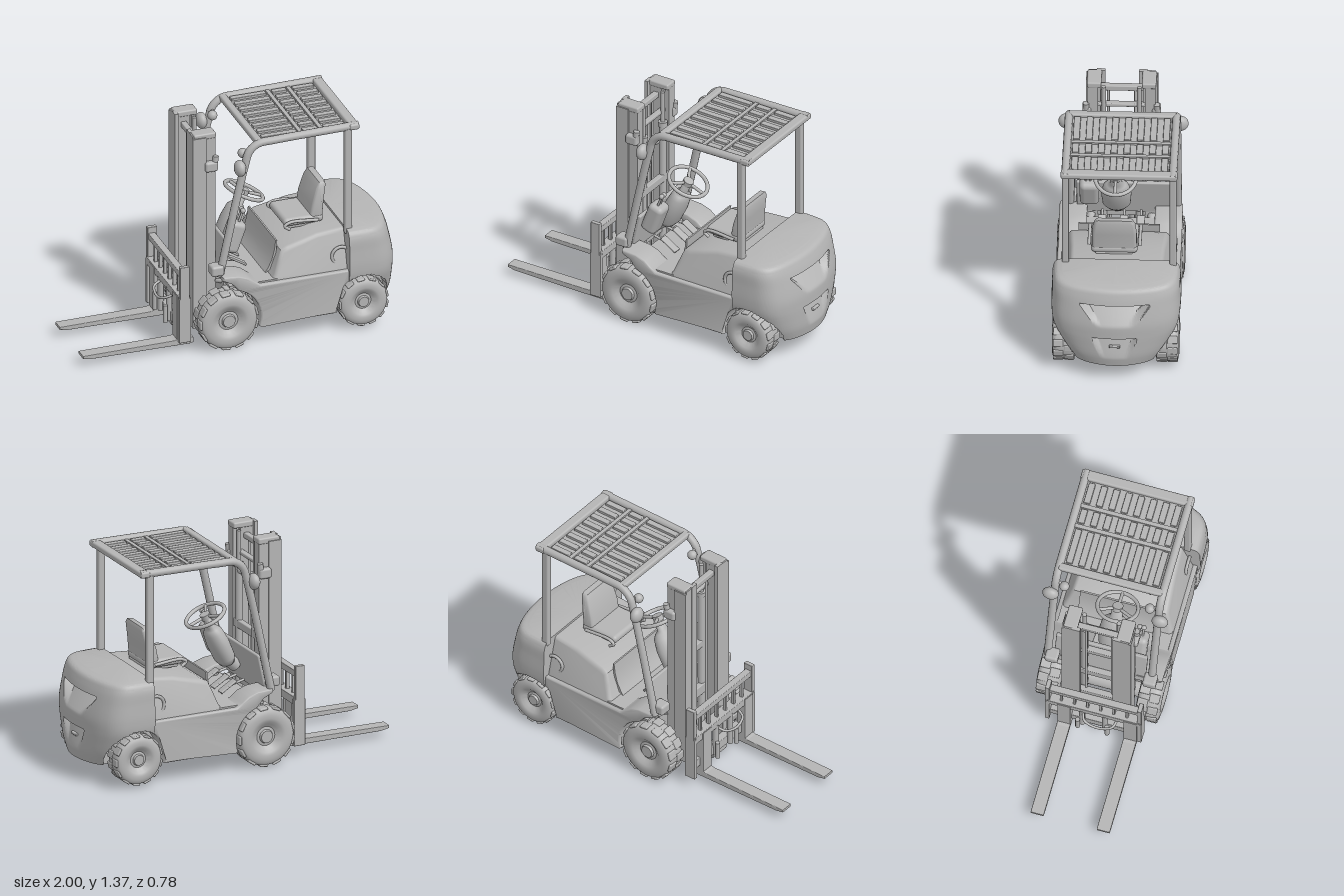
import * as THREE from 'three';
import { toCreasedNormals } from 'three/addons/utils/BufferGeometryUtils.js';
import { RoundedBoxGeometry } from 'three/addons/geometries/RoundedBoxGeometry.js';

const grey = new THREE.MeshStandardMaterial({ color: 0xb4b4b4 });
grey.name = 'plainGrey';
const V = (x, y, z) => new THREE.Vector3(x, y, z);

export function createModel() {
  const root = new THREE.Group();
  root.name = 'forklift';

  const add = (name, geo, parent = root) => {
    const m = new THREE.Mesh(geo, grey);
    m.name = name;
    parent.add(m);
    return m;
  };
  // Box given by its limits, optionally rounded
  const box = (name, x0, x1, y0, y1, z0, z1, r = 0, parent = root) => {
    const s = [x1 - x0, y1 - y0, z1 - z0];
    const m = add(name, r ? new RoundedBoxGeometry(...s, 3, r) : new THREE.BoxGeometry(...s), parent);
    m.position.set((x0 + x1) / 2, (y0 + y1) / 2, (z0 + z1) / 2);
    return m;
  };
  // Straight rod between two points
  const rod = (name, a, b, r, parent = root) => {
    const d = b.clone().sub(a);
    const m = add(name, new THREE.CylinderGeometry(r, r, d.length(), 20), parent);
    m.position.copy(a).add(b).multiplyScalar(0.5);
    m.quaternion.setFromUnitVectors(V(0, 1, 0), d.normalize());
    return m;
  };
  const tube = (name, pts, r, parent = root) =>
    add(name, new THREE.TubeGeometry(new THREE.CatmullRomCurve3(pts), 60, r, 12), parent);
  // Side outline extruded across the width
  const slab = (shape, z0, z1, bevel) => {
    const g = new THREE.ExtrudeGeometry(shape, { depth: z1 - z0 - 2 * bevel, bevelEnabled: bevel > 0,
      bevelSize: bevel, bevelThickness: bevel, bevelOffset: -bevel, bevelSegments: 4, curveSegments: 24 });
    return g.translate(0, 0, z0 + bevel);
  };
  const outline = pts => new THREE.Shape(pts.map(p => new THREE.Vector2(...p)));

  // Wheels: turned tyre and hub with two staggered rows of broad lugs
  const wheel = (name, x, y, z, R, hw) => {
    const g = new THREE.Group();
    g.name = name;
    g.position.set(x, y, z);
    root.add(g);
    const half = [[0, 0.8], [0.2, 0.8], [0.23, 0.6], [0.32, 0.55], [0.42, 0.72], [0.52, 0.92], [0.62, 1],
      [0.75, 0.98], [0.86, 0.92], [0.93, 0.8], [0.965, 0.6], [0.97, 0.2]];
    const pts = [...half.map(([r, h]) => [r, -h]), ...half.slice().reverse()];
    const tyre = new THREE.LatheGeometry(pts.map(([r, h]) => new THREE.Vector2(r * R, h * hw)), 48);
    add('tyre', toCreasedNormals(tyre.rotateX(Math.PI / 2), 0.7), g);
    for (const s of [-1, 1]) for (let i = 0; i < 13; i++) {
      const a = (i + (s > 0 ? 0.5 : 0)) / 13 * Math.PI * 2;
      const lug = add('lug', new RoundedBoxGeometry(R * 0.09, R * 0.3, hw * 0.86, 2, R * 0.04), g);
      lug.position.set(Math.cos(a) * R * 0.95, Math.sin(a) * R * 0.95, s * hw * 0.46);
      lug.rotation.z = a;
    }
  };
  for (const s of [-1, 1]) {
    wheel('frontWheel', -0.11, 0.19, s * 0.305, 0.186, 0.073);
    wheel('rearWheel', 0.736, 0.174, s * 0.306, 0.156, 0.07);
  }
  rod('frontAxle', V(-0.11, 0.19, -0.25), V(-0.11, 0.19, 0.25), 0.06);
  rod('rearAxle', V(0.736, 0.172, -0.25), V(0.736, 0.172, 0.25), 0.045);

  // Chassis: central tub plus side panels with fender and wheel arches
  box('chassisTub', -0.1, 0.68, 0.13, 0.4, -0.23, 0.23);
  box('rearTub', 0.6, 0.86, 0.13, 0.36, -0.2, 0.2);
  const side = outline([[-0.15, 0.485], [-0.05, 0.477], [0.01, 0.457], [0.05, 0.425], [0.09, 0.4],
    [0.645, 0.4], [0.645, 0.326]]);
  side.absarc(0.736, 0.176, 0.175, 2.12, 3.41, false);
  side.lineTo(0.075, 0.13);
  side.absarc(-0.11, 0.19, 0.2, -0.3, 1.25, false);
  side.lineTo(-0.09, 0.43);
  side.lineTo(-0.15, 0.46);
  for (const s of [-1, 1]) {
    add('sidePanel', toCreasedNormals(slab(side, s > 0 ? 0.2 : -0.365, s > 0 ? 0.365 : -0.2, 0.012), 0.6));
    box('fenderBlock', -0.21, -0.13, 0.485, 0.55, s * 0.3 - 0.04, s * 0.3 + 0.04, 0.015);
  }

  // Engine hood, narrowing towards the top
  const hood = slab(outline([[0.16, 0.38], [0.19, 0.43], [0.215, 0.5], [0.24, 0.565], [0.28, 0.585], [0.38, 0.608],
    [0.47, 0.63], [0.65, 0.645], [0.65, 0.38]]), -0.345, 0.345, 0.025);
  const hp = hood.attributes.position;
  for (let i = 0; i < hp.count; i++) hp.setZ(i, hp.getZ(i) * (1 - 0.8 * (hp.getY(i) - 0.38)));
  add('engineHood', toCreasedNormals(hood, 0.6));
  // Curved shield in front of the hood
  const shield = outline([[0.155, 0.405], [0.19, 0.425], [0.215, 0.48], [0.23, 0.55], [0.235, 0.612], [0.225, 0.612],
    [0.217, 0.55], [0.2, 0.485], [0.175, 0.435]]);
  add('hoodShield', toCreasedNormals(slab(shield, -0.24, 0.24, 0), 0.6));
  for (const s of [-1, 1]) {
    const pocket = add('sidePocket', new THREE.TorusGeometry(0.055, 0.01, 10, 24, Math.PI));
    pocket.position.set(0.605, 0.485, s * 0.318);
    pocket.rotation.z = 0.9;
  }

  // Counterweight: lofted plan curve, with wheel arches and rear recesses pressed in
  const x0 = 0.64, N = 170;
  const halfPlan = [[0, 1], [0.35, 0.995], [0.58, 0.965], [0.74, 0.875], [0.85, 0.72], [0.925, 0.52], [0.98, 0.27]];
  const plan = new THREE.SplineCurve([...halfPlan, [1, 0], ...halfPlan.slice().reverse().map(([x, z]) => [x, -z])]
    .map(p => new THREE.Vector2(...p))).getSpacedPoints(N);
  // Levels hold height, rear end and half width
  const levels = new THREE.CatmullRomCurve3([[0.13, 0.985, 0.272], [0.2, 0.998, 0.312], [0.28, 1, 0.35], [0.35, 1, 0.376],
    [0.42, 0.998, 0.383], [0.52, 0.978, 0.38], [0.6, 0.955, 0.376], [0.64, 0.935, 0.36], [0.657, 0.88, 0.32]]
    .map(p => V(...p))).getSpacedPoints(64);
  levels.unshift(V(0.13, x0 + 0.02, 0));
  levels.push(V(0.66, x0 + 0.02, 0));
  const clamp = v => Math.min(1, Math.max(0, v));
  const pos = [], idx = [];
  levels.forEach((l, j) => plan.forEach((p, i) => {
    const y = l.x;
    let x = x0 + (l.y - x0) * p.x, z = l.z * p.y;
    if (Math.hypot(x - 0.736, y - 0.176) < 0.176 && Math.abs(z) > 0.21) z = 0.21 * Math.sign(z);
    if (x > 0.85) {
      const t = (y - 0.42) / 0.13, az = Math.abs(z);
      if (t > 0 && t < 1) x -= 0.08 * t * clamp((0.11 + 0.1 * t - az) / 0.035);
      const u = (y - 0.19) / 0.14;
      if (u > 0 && u < 1) x -= 0.04 * u * clamp((0.085 + 0.05 * u - az) / 0.03);
    }
    pos.push(x, y, z);
    if (j < levels.length - 1) {
      const a = j * (N + 1) + i, b = j * (N + 1) + (i + 1) % (N + 1);
      idx.push(a, b, a + N + 1, b, b + N + 1, a + N + 1);
    }
  }));
  const weight = new THREE.BufferGeometry();
  weight.setAttribute('position', new THREE.Float32BufferAttribute(pos, 3));
  weight.setIndex(idx);
  add('counterweight', toCreasedNormals(weight, 0.6));
  box('towPin', 0.94, 0.99, 0.262, 0.278, -0.033, 0.033, 0.005);

  // Overhead guard: pillars bending into roof rails, rear posts and slatted roof
  const zc = -0.016;
  for (const s of [-1, 1]) {
    const z = zc + s * 0.318;
    tube('pillarAndRoofRail', [V(-0.15, 0.47, z), V(-0.1, 0.7, z), V(-0.045, 0.95, z), V(0.01, 1.18, z), V(0.035, 1.26, z),
      V(0.09, 1.305, z), V(0.2, 1.313, z), V(0.45, 1.318, z), V(0.72, 1.322, z)], 0.024);
    box('rearPost', 0.632, 0.678, 0.62, 1.315, z - 0.02, z + 0.02, 0.01);
  }
  box('roofPanel', 0.09, 0.7, 1.297, 1.311, zc - 0.325, zc + 0.325);
  box('roofRearBar', 0.66, 0.722, 1.302, 1.34, zc - 0.345, zc + 0.345, 0.012);
  box('roofFrontBar', 0.075, 0.12, 1.295, 1.332, zc - 0.32, zc + 0.32, 0.012);
  for (const x of [0.37, 0.5]) box('roofCrossBar', x - 0.012, x + 0.012, 1.308, 1.323, zc - 0.31, zc + 0.31);
  for (let i = 0; i < 8; i++) {
    const z = zc - 0.266 + i * 0.076;
    for (const [a, b] of [[0.13, 0.35], [0.39, 0.48], [0.52, 0.65]])
      box('roofSlat', a, b, 1.308, 1.326, z - 0.02, z + 0.02, 0.004);
  }

  // Work lights on the front pillars
  for (const s of [-1, 1]) {
    const lamp = add('workLight', new THREE.SphereGeometry(0.05, 20, 12));
    lamp.scale.x = 0.7;
    lamp.position.set(-0.028, 1.17, zc + s * 0.335);
    rod('lightArm', V(-0.025, 1.17, zc + s * 0.33), V(0.02, 1.21, zc + s * 0.318), 0.012);
    add('signalLamp', new THREE.SphereGeometry(0.03, 16, 10)).position.set(0.015, 1.23, zc + s * 0.262);
    rod('signalArm', V(0.015, 1.23, zc + s * 0.262), V(0.035, 1.25, zc + s * 0.318), 0.01);
  }

  // Mast: outer and inner channels, lift cylinders, hooks and cross members
  const mast = new THREE.Group();
  mast.name = 'mast';
  root.add(mast);
  for (const s of [-1, 1]) {
    const b = (n, xa, xb, ya, yb, za, zb, r = 0) =>
      box(n, xa, xb, ya, yb, Math.min(s * za, s * zb), Math.max(s * za, s * zb), r, mast);
    b('outerWeb', -0.283, -0.2, 0.1, 1.35, 0.188, 0.212);
    b('outerRearWeb', -0.205, -0.14, 0.1, 1.34, 0.178, 0.2);
    b('outerFlange', -0.283, -0.258, 0.1, 1.365, 0.14, 0.2);
    b('outerFlange', -0.165, -0.14, 0.1, 1.34, 0.14, 0.2);
    b('innerWeb', -0.27, -0.18, 0.12, 1.37, 0.125, 0.15);
    b('innerFlange', -0.285, -0.262, 0.12, 1.37, 0.1, 0.15);
    b('mastCap', -0.275, -0.135, 1.335, 1.372, 0.12, 0.205, 0.01);
    rod('liftCylinder', V(-0.16, 0.15, s * 0.105), V(-0.16, 1.1, s * 0.105), 0.022, mast);
    rod('liftPiston', V(-0.16, 1.1, s * 0.105), V(-0.16, 1.33, s * 0.105), 0.013, mast);
    rod('cylinderCollar', V(-0.16, 1.1, s * 0.105), V(-0.16, 1.13, s * 0.105), 0.028, mast);
    b('mastHook', -0.21, -0.13, 1.125, 1.19, 0.18, 0.232, 0.015);
    rod('hookPin', V(-0.15, 1.14, s * 0.21), V(-0.14, 1.22, s * 0.21), 0.018, mast);
    rod('liftChain', V(-0.215, 0.25, s * 0.08), V(-0.215, 1.28, s * 0.08), 0.008, mast);
    rod('tiltCylinder', V(-0.14, 0.4, s * 0.18), V(0.05, 0.33, s * 0.18), 0.025, mast);
  }
  for (const [x, y, h] of [[-0.22, 1.285, 0.035], [-0.18, 1.19, 0.022], [-0.16, 0.75, 0.05], [-0.17, 0.42, 0.07], [-0.2, 0.14, 0.08]])
    box('mastCrossMember', x - 0.018, x + 0.018, y - h / 2, y + h / 2, -0.19, 0.19, 0.006, mast);

  // Carriage and load backrest
  const carriage = new THREE.Group();
  carriage.name = 'carriage';
  root.add(carriage);
  const cb = (n, ...d) => box(n, ...d, 0.004, carriage);
  for (const z of [-0.268, 0.296]) {
    cb('backrestPost', -0.4, -0.34, 0.34, 0.568, z - 0.014, z + 0.014);
    cb('carriageEndPlate', -0.405, -0.33, 0.07, 0.36, z - 0.014, z + 0.014);
  }
  cb('backrestTopBar', -0.395, -0.352, 0.49, 0.53, -0.27, 0.3);
  cb('carriageTopBar', -0.405, -0.335, 0.325, 0.375, -0.27, 0.3);
  cb('carriageLowerBar', -0.385, -0.335, 0.12, 0.18, -0.27, 0.3);
  cb('carriageFoot', -0.37, -0.31, 0.075, 0.125, -0.055, 0.075);
  for (let i = 1; i < 7; i++) {
    const z = -0.268 + i * 0.0806;
    cb('backrestBar', -0.385, -0.362, 0.36, 0.51, z - 0.008, z + 0.008);
  }
  for (const s of [-1, 1]) {
    cb('carriageRoller', -0.335, -0.285, 0.1, 0.32, s * 0.105 - 0.02, s * 0.105 + 0.02);
    rod('carriageStrut', V(-0.39, 0.12, s * 0.07 + 0.014), V(-0.39, 0.34, s * 0.07 + 0.014), 0.018, carriage);
    rod('sideShiftRod', V(-0.42, 0.12, s * 0.09 + 0.014), V(-0.42, 0.23, s * 0.09 + 0.014), 0.014, carriage);
  }
  tube('hydraulicHose', [V(-0.39, 0.32, -0.05), V(-0.44, 0.3, -0.03), V(-0.458, 0.28, 0.06), V(-0.44, 0.3, 0.14),
    V(-0.39, 0.32, 0.16)], 0.008, carriage);

  // Forks: one L outline with a tapering blade
  const fork = outline([[-1, 0.058], [-0.95, 0.048], [-0.33, 0.045], [-0.305, 0.05], [-0.305, 0.08], [-0.345, 0.1],
    [-0.355, 0.37], [-0.41, 0.37], [-0.41, 0.085], [-0.43, 0.08], [-1, 0.075]]);
  for (const z of [-0.163, 0.242]) add('fork', slab(fork, z - 0.04, z + 0.04, 0.004));

  // Cowl, floor and pedals
  const cowl = box('cowl', -0.012, 0.012, -0.13, 0.13, -0.29, 0.27, 0.008);
  cowl.position.set(-0.118, 0.555, zc);
  cowl.rotation.z = -0.22;
  box('floor', -0.1, 0.2, 0.395, 0.41, -0.34, 0.34);
  for (const z of [-0.12, -0.02, 0.11]) {
    const pedal = add('pedal', new RoundedBoxGeometry(0.12, 0.014, 0.05, 2, 0.005));
    pedal.position.set(0.03, 0.455, z);
    pedal.rotation.z = -0.55;
    rod('pedalArm', V(-0.08, 0.48, z), V(0.03, 0.455, z), 0.008);
  }

  // Steering column and wheel share one tilted frame
  const steering = new THREE.Group();
  steering.name = 'steering';
  steering.position.set(0.02, 0.68, 0.025);
  steering.rotation.z = -0.43;
  root.add(steering);
  const column = new THREE.LatheGeometry([[0, -0.14], [0.045, -0.14], [0.06, -0.1], [0.064, 0], [0.056, 0.08], [0.04, 0.105],
    [0.026, 0.12], [0.022, 0.2], [0, 0.205]].map(p => new THREE.Vector2(...p)), 28);
  add('steeringColumn', column, steering).scale.z = 1.4;
  add('steeringRim', new THREE.TorusGeometry(0.122, 0.012, 12, 48).rotateX(Math.PI / 2), steering).position.y = 0.2;
  for (let i = 0; i < 3; i++) {
    const a = i * Math.PI * 2 / 3;
    rod('steeringSpoke', V(0, 0.195, 0), V(0.12 * Math.cos(a), 0.2, 0.12 * Math.sin(a)), 0.01, steering);
  }
  rod('steeringHub', V(0, 0.18, 0), V(0, 0.212, 0), 0.032, steering);
  rod('columnSupport', V(-0.1, 0.52, 0.025), V(-0.01, 0.6, 0.025), 0.04);

  // Control levers beside the column
  const housing = box('leverHousing', -0.05, 0.05, -0.1, 0.1, 0.13, 0.245, 0.03);
  housing.position.set(-0.025, 0.665, 0.185);
  housing.rotation.z = -0.35;
  for (const z of [0.18, 0.205]) {
    rod('lever', V(0, 0.74, z), V(0.03, 0.82, z), 0.007);
    add('leverKnob', new THREE.SphereGeometry(0.016, 14, 10)).position.set(0.032, 0.825, z);
  }

  // Seat
  box('seatMount', 0.34, 0.56, 0.615, 0.65, -0.09, 0.13, 0.01);
  box('seatCushion', 0.31, 0.56, 0.638, 0.69, -0.12, 0.155, 0.024);
  const back = slab(outline([[0.475, 0.66], [0.49, 0.75], [0.52, 0.85], [0.54, 0.888], [0.575, 0.892], [0.582, 0.87],
    [0.565, 0.78], [0.555, 0.66]]), -0.115, 0.15, 0.02);
  const bp = back.attributes.position;
  for (let i = 0; i < bp.count; i++)
    bp.setZ(i, 0.018 + (bp.getZ(i) - 0.018) * (1 - 3 * Math.max(0, bp.getY(i) - 0.82) ** 1.1));
  add('seatBack', toCreasedNormals(back, 0.6));
  for (const s of [-1, 1])
    tube('seatHandle', [V(0.34, 0.63, 0.018 + s * 0.15), V(0.31, 0.655, 0.018 + s * 0.15), V(0.34, 0.675, 0.018 + s * 0.15),
      V(0.52, 0.665, 0.018 + s * 0.15)], 0.01);

  return root;
}
